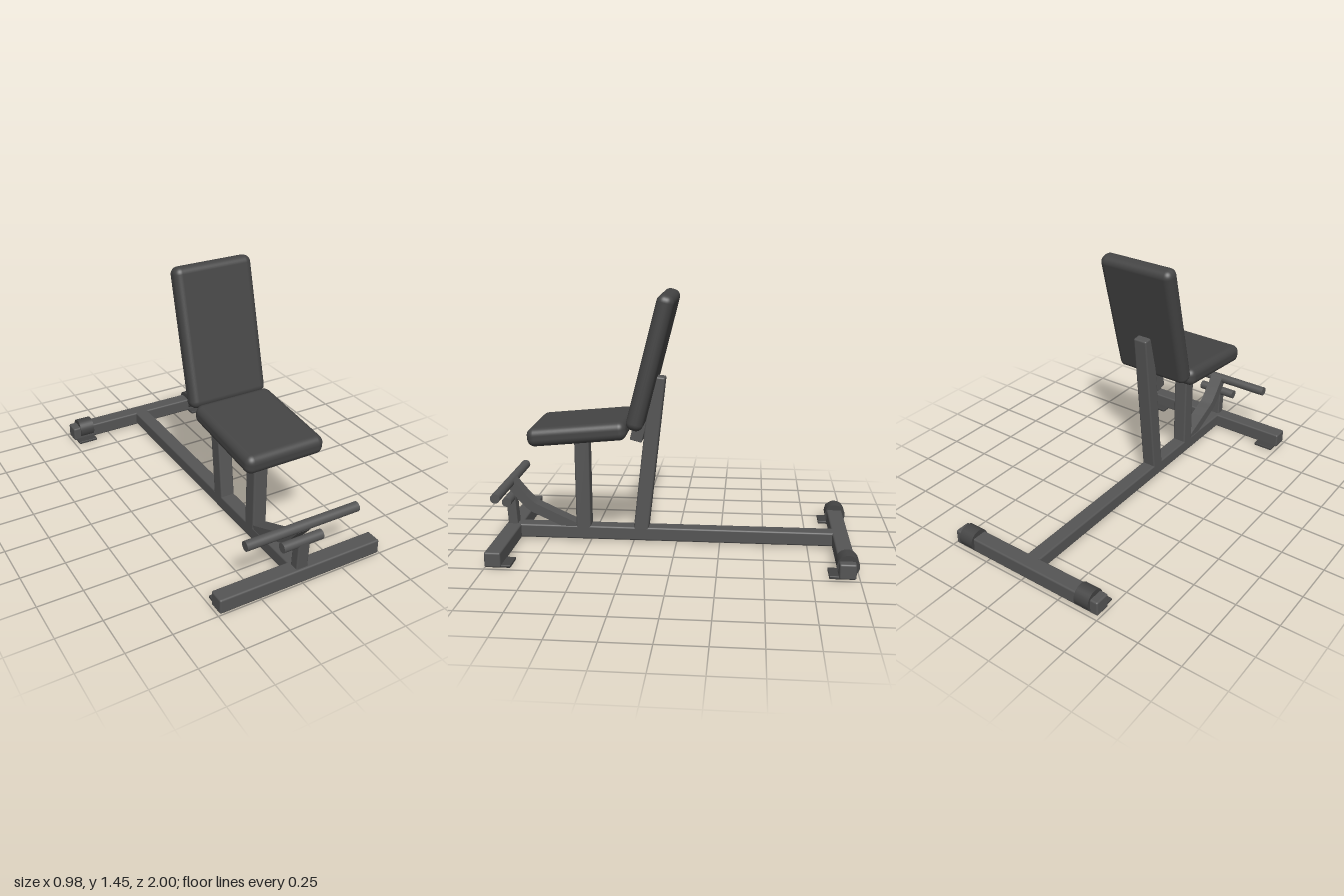
import * as THREE from 'three';
import { RoundedBoxGeometry } from 'three/addons/geometries/RoundedBoxGeometry.js';
import { toCreasedNormals } from 'three/addons/utils/BufferGeometryUtils.js';

export function createModel() {
  const model = new THREE.Group();
  const steel = new THREE.MeshStandardMaterial({ color: 0x555555 });
  const vinyl = new THREE.MeshStandardMaterial({ color: 0x444444 });
  const rubber = new THREE.MeshStandardMaterial({ color: 0x444444 });

  function add(name, geometry, material, [x, y, z], tilt = 0) {
    const mesh = new THREE.Mesh(geometry, material);
    mesh.name = name;
    mesh.position.set(x, y, z);
    mesh.rotation.x = tilt;
    model.add(mesh);
    return mesh;
  }
  const box = (w, h, d, r = 0.01, seg = 2) => new RoundedBoxGeometry(w, h, d, seg, r);
  const rod = (r, length, sides = 32) => new THREE.CylinderGeometry(r, r, length, sides).rotateZ(Math.PI / 2);

  // Base frame
  add('spine', box(0.085, 0.08, 1.84), steel, [0, 0.05, 0.01]);
  add('frontCrossTube', box(0.98, 0.085, 0.09), steel, [0, 0.0475, 0.955]);
  add('rearCrossTube', box(0.98, 0.085, 0.09), steel, [0, 0.0475, -0.935]);

  // Foot plates and transport wheels, mirrored left and right
  for (const side of [-1, 1]) {
    add('frontFoot', box(0.12, 0.016, 0.13, 0.004), rubber, [side * 0.415, 0.008, 0.925]);
    add('rearFoot', box(0.12, 0.016, 0.13, 0.004), rubber, [side * 0.415, 0.008, -0.905]);
    add('wheel', rod(0.06, 0.09), rubber, [side * 0.4, 0.062, -0.94]);
  }

  // Uprights
  add('seatPost', box(0.085, 0.57, 0.085), steel, [0, 0.335, 0.542]);
  add('backPost', box(0.085, 0.92, 0.085), steel, [0, 0.52, 0.155], -0.114);
  add('backBracket', box(0.075, 0.32, 0.07, 0.004), steel, [0, 0.76, 0.192], -0.25);

  // Padding
  add('seatPad', box(0.46, 0.105, 0.555, 0.042, 5), vinyl, [0, 0.68, 0.538], 0.095);
  add('backPad', box(0.46, 0.76, 0.095, 0.04, 5), vinyl, [0, 1.075, 0.13], -0.252);

  // Lower foot bar on a short stem
  add('lowerBarStem', box(0.07, 0.19, 0.055, 0.008), steel, [0, 0.16, 0.964], 0.06);
  add('lowerBar', rod(0.027, 0.24), steel, [0, 0.248, 0.97]);

  // Upper bar on a curved arm: a strip offset both ways from its centre line
  const curve = new THREE.SplineCurve([
    [0.59, 0.08], [0.78, 0.168], [0.861, 0.215], [0.968, 0.34],
  ].map(([z, y]) => new THREE.Vector2(z, y)));
  const top = [], bottom = [];
  for (let i = 0; i <= 20; i++) {
    const p = curve.getPoint(i / 20), t = curve.getTangent(i / 20);
    const n = new THREE.Vector2(-t.y, t.x).multiplyScalar(0.028);
    top.push(p.clone().add(n));
    bottom.push(p.clone().sub(n));
  }
  const outline = new THREE.Shape([...bottom, ...top.reverse()]);
  const arm = new THREE.ExtrudeGeometry(outline, { depth: 0.08, bevelEnabled: false });
  arm.translate(0, 0, -0.04).rotateY(-Math.PI / 2);
  add('curvedArm', toCreasedNormals(arm, 0.6), steel, [0, 0, 0]);
  add('upperBar', rod(0.027, 0.675), steel, [0, 0.342, 0.97]);

  return model;
}
